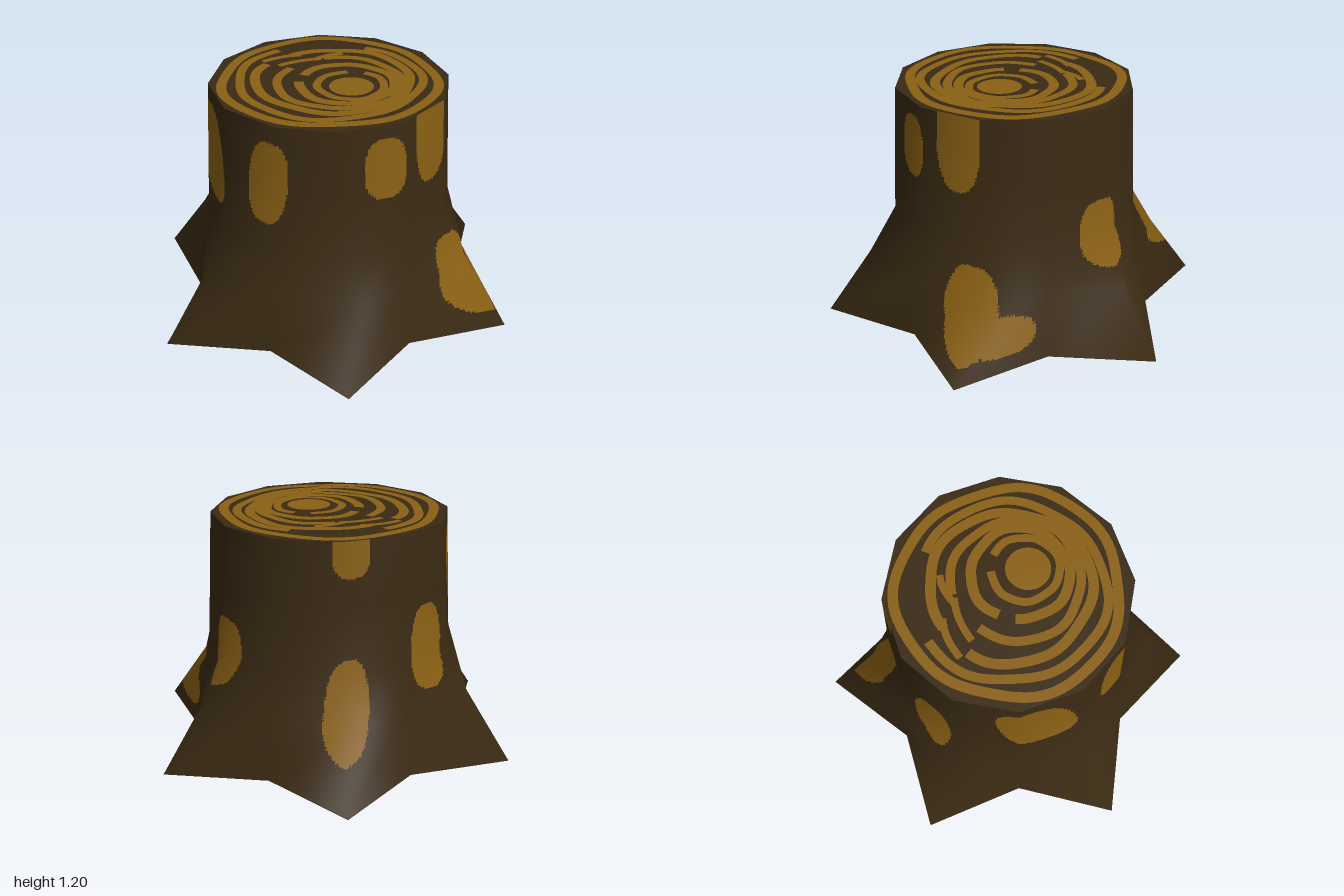
import * as THREE from 'three';

const bark = new THREE.MeshStandardMaterial({ color: 0x3a2a13, side: THREE.DoubleSide });
bark.name = 'dark bark';
const wood = new THREE.MeshStandardMaterial({ color: 0x8a6014, side: THREE.DoubleSide });
wood.name = 'golden wood';

const SIDES = 12, STEPS = 24, DEG = Math.PI / 180;

// Height, radius on a root ridge, radius in the valley between roots
const LEVELS = [
  [0, 1, 0.7], [0.32, 0.77, 0.66], [0.56, 0.63, 0.63], [0.88, 0.615, 0.615], [1.2, 0.6, 0.6],
];

// Bare spots on the bark: angle from the front, height, half width, half height, lean
const SPOTS = [
  [-34.5, 0.9, 0.11, 0.215, 0.08], [21, 0.98, 0.107, 0.155, 0], [50, 1.1, 0.12, 0.28, 0],
  [-81, 0.88, 0.19, 0.24, -0.25], [119, 0.58, 0.12, 0.165, 0], [226, 0.615, 0.117, 0.215, 0],
  [182, 0.41, 0.095, 0.22, 0.1], [185, 1.15, 0.095, 0.13, 0],
  [59, 0.28, 0.12, 0.2, 0], [74, 0.17, 0.11, 0.09, 0],
];

function isSpot(p) {
  const angle = Math.atan2(p.x, p.z);
  return SPOTS.some(([deg, y, w, h, lean]) => {
    const turn = angle - deg * DEG;
    const d = Math.atan2(Math.sin(turn), Math.cos(turn)) * 0.6;
    const v = p.y - y;
    return Math.abs((d - lean * v) / w) ** 2.5 + Math.abs(v / h) ** 2.5 < 1;
  });
}

function mesh(name, geometry, material, parent) {
  const m = new THREE.Mesh(geometry, material);
  m.name = name;
  parent.add(m);
  return m;
}

// Coarse twelve-sided trunk that flares into six roots, with smooth normals
function coarseTrunk() {
  const pos = [], index = [];
  for (const [y, ridge, valley] of LEVELS) {
    for (let i = 0; i < SIDES; i++) {
      const a = i * Math.PI * 2 / SIDES, r = i % 2 ? valley : ridge;
      pos.push(r * Math.sin(a), y, r * Math.cos(a));
    }
  }
  for (let l = 0; l < LEVELS.length - 1; l++) {
    for (let i = 0; i < SIDES; i++) {
      const j = (i + 1) % SIDES, a = l * SIDES + i, b = l * SIDES + j;
      index.push(a, b, b + SIDES, a, b + SIDES, a + SIDES);
    }
  }
  const g = new THREE.BufferGeometry();
  g.setAttribute('position', new THREE.Float32BufferAttribute(pos, 3));
  g.setIndex(index);
  g.computeVertexNormals();
  return g;
}

// Divide every trunk panel finely and sort the pieces into bark and bare wood
function buildTrunk(parent) {
  const coarse = coarseTrunk();
  const parts = [{ pos: [], nor: [] }, { pos: [], nor: [] }];
  const corner = (name, k) => new THREE.Vector3().fromBufferAttribute(coarse.attributes[name], k);
  const blend = ([a, b, c, d], s, t) => {
    const mid = s >= t ? b : d;
    const [first, second] = s >= t ? [s, t] : [t, s];
    return a.clone().multiplyScalar(1 - first)
      .addScaledVector(mid, first - second).addScaledVector(c, second);
  };
  for (let l = 0; l < LEVELS.length - 1; l++) {
    for (let i = 0; i < SIDES; i++) {
      const a = l * SIDES + i, b = l * SIDES + (i + 1) % SIDES;
      const ids = [a, b, b + SIDES, a + SIDES];
      const P = ids.map(k => corner('position', k)), N = ids.map(k => corner('normal', k));
      for (let u = 0; u < STEPS; u++) {
        for (let v = 0; v < STEPS; v++) {
          const q = [[u, v], [u + 1, v], [u + 1, v + 1], [u, v + 1]];
          for (const tri of [[q[0], q[1], q[2]], [q[0], q[2], q[3]]]) {
            const pts = tri.map(([s, t]) => blend(P, s / STEPS, t / STEPS));
            const centre = pts[0].clone().add(pts[1]).add(pts[2]).divideScalar(3);
            const part = parts[isSpot(centre) ? 1 : 0];
            tri.forEach(([s, t], k) => {
              part.pos.push(...pts[k].toArray());
              part.nor.push(...blend(N, s / STEPS, t / STEPS).normalize().toArray());
            });
          }
        }
      }
    }
  }
  parts.forEach((part, k) => {
    const g = new THREE.BufferGeometry();
    g.setAttribute('position', new THREE.Float32BufferAttribute(part.pos, 3));
    g.setAttribute('normal', new THREE.Float32BufferAttribute(part.nor, 3));
    mesh(k ? 'bareSpots' : 'trunk', g, k ? wood : bark, parent);
  });
}

// Flat painted stroke along a path of (x, z) points
function stroke(points, width, y) {
  const pos = [], index = [];
  points.forEach((p, i) => {
    const before = points[Math.max(i - 1, 0)], after = points[Math.min(i + 1, points.length - 1)];
    const dir = after.clone().sub(before).normalize().multiplyScalar(width / 2);
    pos.push(p.x - dir.y, y, p.y + dir.x, p.x + dir.y, y, p.y - dir.x);
    if (i) index.push(2 * i - 2, 2 * i - 1, 2 * i, 2 * i, 2 * i - 1, 2 * i + 1);
  });
  const g = new THREE.BufferGeometry();
  g.setAttribute('position', new THREE.Float32BufferAttribute(pos, 3));
  g.setIndex(index);
  g.computeVertexNormals();
  return g;
}

export function createModel() {
  const stump = new THREE.Group();
  stump.name = 'treeStump';
  buildTrunk(stump);

  // Cut top
  const top = mesh('cutTop', new THREE.CircleGeometry(0.6, SIDES).rotateX(-Math.PI / 2), bark, stump);
  top.position.y = 1.197;

  // Growth rings: centre x, centre z, radius, width, start and end in degrees
  const rings = [
    [0, 0, 0.53, 0.05, 0, 360], [0, 0.005, 0.455, 0.045, -60, 240],
    [0.02, 0.01, 0.385, 0.05, -120, 215], [0.05, 0.04, 0.31, 0.045, -100, 220],
    [0.08, 0.06, 0.235, 0.05, -150, 190], [0.1, 0.085, 0.165, 0.04, -60, 270],
  ];
  const growth = new THREE.Group();
  growth.name = 'growthRings';
  stump.add(growth);
  rings.forEach(([cx, cz, r, w, from, to], k) => {
    const pts = [];
    for (let i = 0; i <= 96; i++) {
      const a = (from + (to - from) * i / 96) * DEG;
      const rr = r * (1 + 0.02 * Math.sin(3 * a + k * 2) + 0.012 * Math.sin(7 * a + k));
      pts.push(new THREE.Vector2(cx + rr * Math.cos(a), cz + rr * Math.sin(a)));
    }
    mesh('growthRing', stroke(pts, w, 1.2), wood, growth);
  });
  // Broken ring pieces towards the back left
  for (const [x, z, len] of [[-0.22, -0.3, 0.2], [-0.13, -0.24, 0.22], [0.02, -0.3, 0.16]]) {
    const path = new THREE.QuadraticBezierCurve(
      new THREE.Vector2(x - len / 2, z + 0.05), new THREE.Vector2(x, z - 0.02),
      new THREE.Vector2(x + len / 2, z - 0.02));
    mesh('ringPiece', stroke(path.getPoints(10), 0.035, 1.2), wood, growth);
  }
  const heart = mesh('heartwood', new THREE.CircleGeometry(0.11, 32).rotateX(-Math.PI / 2), wood, growth);
  heart.position.set(0.1, 1.2, 0.1);

  // Star-shaped underside
  const star = new THREE.Shape();
  for (let i = 0; i < SIDES; i++) {
    const a = i * Math.PI * 2 / SIDES, r = LEVELS[0][i % 2 ? 2 : 1];
    star[i ? 'lineTo' : 'moveTo'](r * Math.sin(a), r * Math.cos(a));
  }
  const base = mesh('underside', new THREE.ShapeGeometry(star).rotateX(Math.PI / 2), bark, stump);
  base.position.y = 0.004;

  // Little face painted on the underside
  const marks = [
    ['eye', 0.06, [[-0.24, 0.47], [-0.22, 0.2], [-0.2, -0.03]]],
    ['eye', 0.06, [[0.2, 0.52], [0.18, 0.25], [0.13, 0.04]]],
    ['mouth', 0.06, [[-0.39, -0.38], [-0.28, -0.28], [-0.15, -0.3], [-0.03, -0.4],
      [0.1, -0.28], [0.23, -0.25], [0.33, -0.31], [0.37, -0.43]]],
  ];
  for (const [name, width, path] of marks) {
    const pts = path.map(([u, d]) => new THREE.Vector2(-0.766 * u + 0.643 * d, -0.643 * u - 0.766 * d));
    mesh(name, stroke(new THREE.SplineCurve(pts).getPoints(40), width, 0), wood, stump);
  }
  return stump;
}
